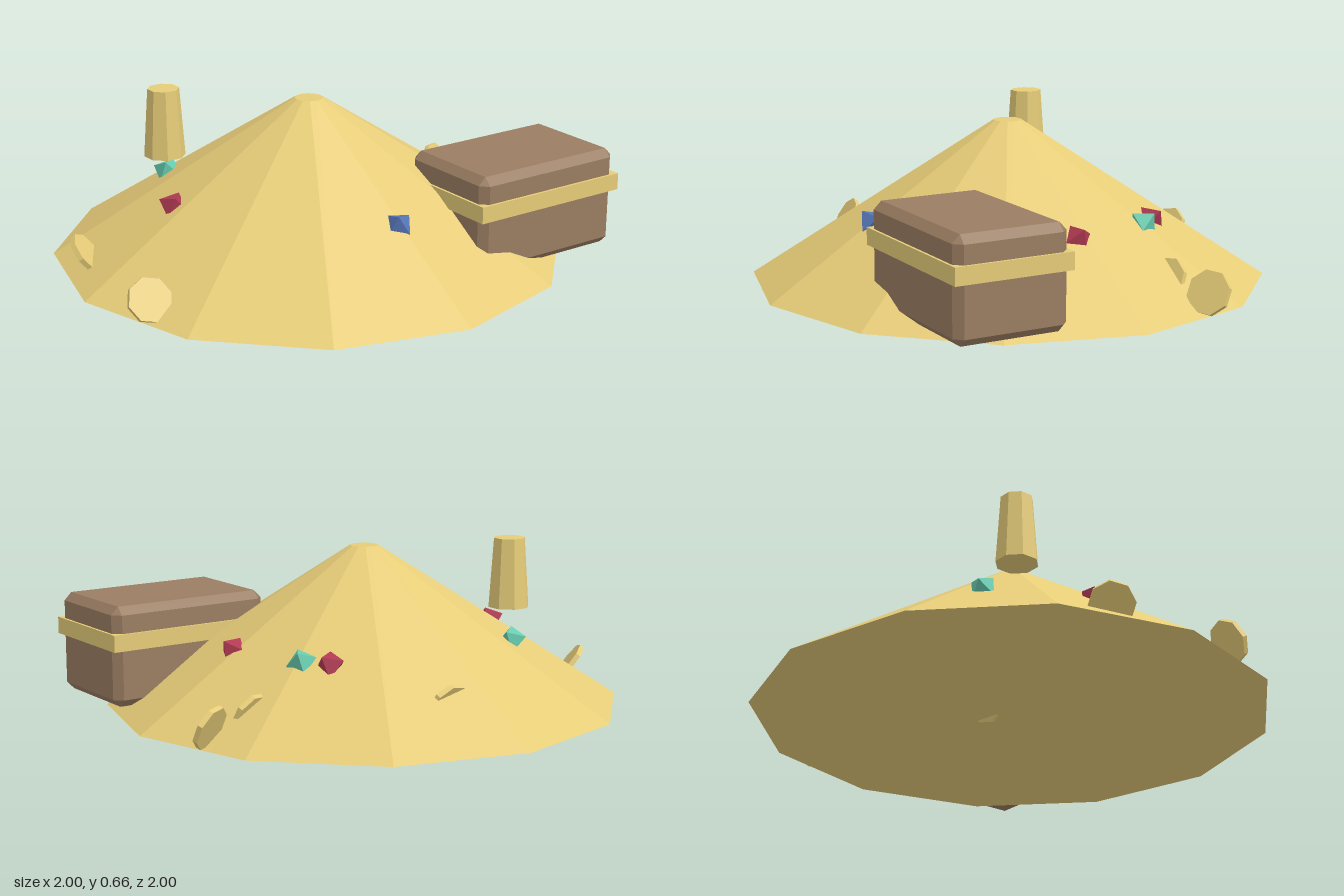
import * as THREE from 'three';
import { ConvexGeometry } from 'three/addons/geometries/ConvexGeometry.js';

const mat = (color) => new THREE.MeshStandardMaterial({ color, flatShading: true });
const gold = mat(0xe6cc78);
const wood = mat(0x9a7d62);
const red = mat(0xb03a52);
const blue = mat(0x5676b8);
const teal = mat(0x68ccb0);

// Box with every edge cut by a flat chamfer c
function chamferBox(w, h, d, c) {
  const points = [];
  for (const sx of [-1, 1]) for (const sy of [-1, 1]) for (const sz of [-1, 1]) {
    for (let axis = 0; axis < 3; axis++) {
      const inset = [c, c, c];
      inset[axis] = 0;
      points.push(new THREE.Vector3(
        sx * (w / 2 - inset[0]), sy * (h / 2 - inset[1]), sz * (d / 2 - inset[2])));
    }
  }
  return new ConvexGeometry(points);
}

export function createModel() {
  const model = new THREE.Group();
  model.name = 'treasurePile';
  const add = (parent, name, geometry, material, x, y, z) => {
    const mesh = new THREE.Mesh(geometry, material);
    mesh.name = name;
    mesh.position.set(x, y, z);
    parent.add(mesh);
    return mesh;
  };

  // Twelve-sided mound of gold
  add(model, 'goldMound', new THREE.CylinderGeometry(0.055, 1, 0.61, 12), gold, 0, 0.325, 0);

  // Chest with a metal band, sunk into the slope
  const chest = new THREE.Group();
  chest.name = 'chest';
  chest.position.set(0.61, 0, 0.5);
  model.add(chest);
  add(chest, 'chestBody', chamferBox(0.66, 0.385, 0.44, 0.03), wood, 0, 0.247, 0);
  add(chest, 'chestBand', new THREE.BoxGeometry(0.68, 0.065, 0.46), gold, 0, 0.307, 0);

  // Tapered eight-sided cup
  const cup = new THREE.CylinderGeometry(0.062, 0.081, 0.27, 8);
  cup.rotateY(Math.PI / 8);
  add(model, 'cup', cup, gold, -0.448, 0.526, -0.337);

  // Coins: position, then the direction the face points
  const coinGeometry = new THREE.CylinderGeometry(0.085, 0.085, 0.02, 8);
  const up = new THREE.Vector3(0, 1, 0);
  const coins = [
    [[-0.89, 0.1, 0.285], [-0.12, 0.5, 0.85]],
    [[0.9, 0.105, -0.325], [0.42, 0.4, 0.8]],
    [[-0.855, 0.1, -0.245], [0.6, 0.6, 0.5]],
    [[0.12, 0.15, -0.67], [0.15, 0.5, 0.85]],
    [[0.7, 0.115, -0.275], [0.25, 0.45, 0.85]],
    [[0.05, 0.08, -0.09], [0.15, 0.4, 0.9]],
  ];
  for (const [p, n] of coins) {
    const coin = add(model, 'coin', coinGeometry, gold, ...p);
    coin.quaternion.setFromUnitVectors(up, new THREE.Vector3(...n).normalize());
  }

  // Gems half set into the slope: material, position, rotation
  const gemGeometry = new THREE.OctahedronGeometry(0.058);
  const gems = [
    [blue, [-0.005, 0.285, 0.58], [0.5, 0.3, 0.4]],
    [red, [0.58, 0.28, 0.03], [0.15, 0.15, 0.75]],
    [red, [-0.57, 0.285, -0.075], [0.6, 0.8, 0.3]],
    [red, [0.43, 0.28, -0.387], [0.4, 0.5, 0.5]],
    [teal, [0.5, 0.285, -0.305], [0.5, 0.9, 0.4]],
    [teal, [-0.38, 0.285, -0.44], [0.3, 0.6, 0.5]],
  ];
  for (const [material, p, r] of gems) {
    add(model, 'gem', gemGeometry, material, ...p).rotation.set(...r);
  }

  return model;
}
